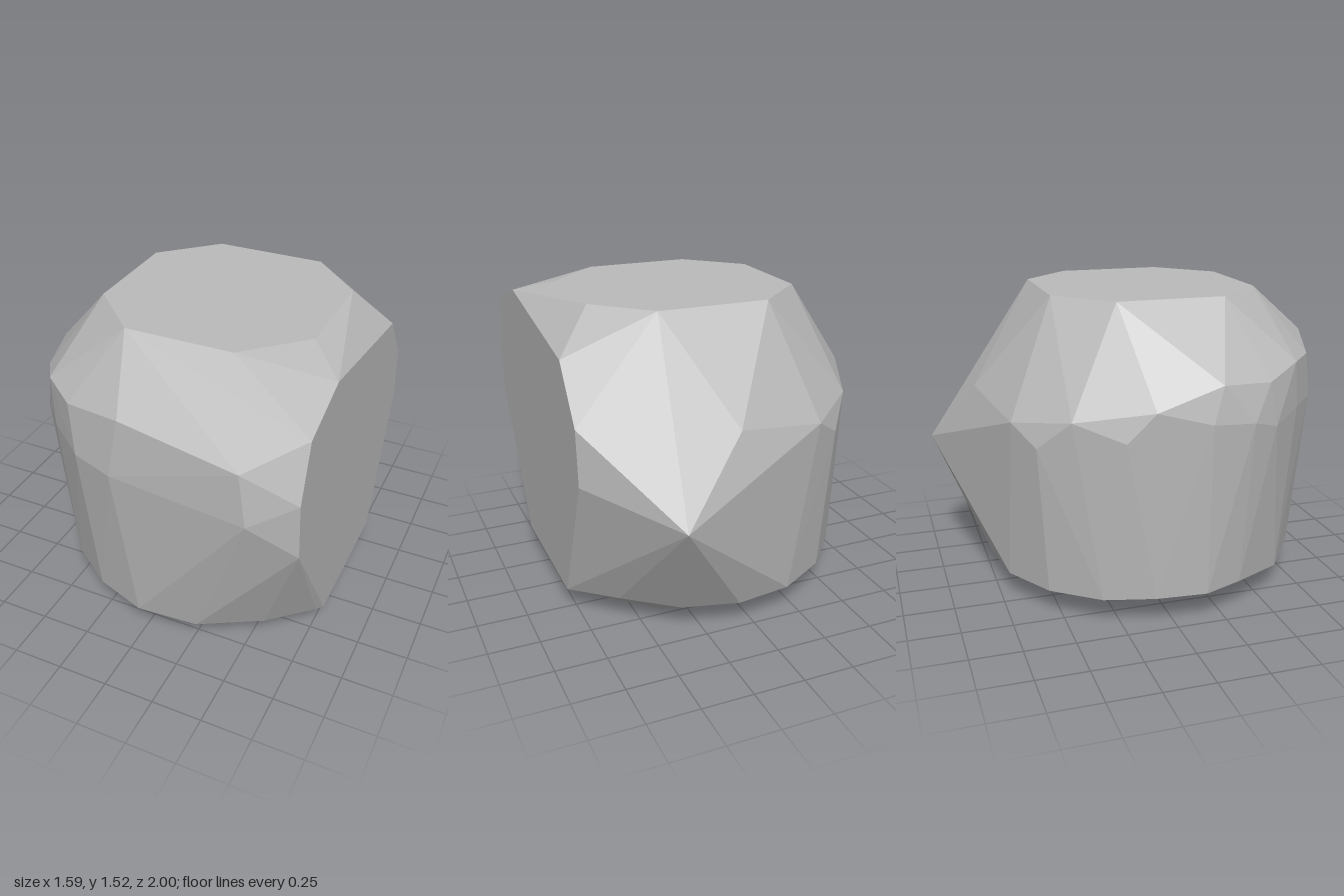
import * as THREE from 'three';
import { ConvexGeometry } from 'three/addons/geometries/ConvexGeometry.js';

// Corner rings of the faceted boulder, each corner as [x, y, z]
const TOP = 1.525, SIDE = 0.797;

// Flat octagons at the crown and the base
const octagon = (y, left, right) => [
  [-0.18, y, -0.46], [0.37, y, -0.46], [right, y, -0.21], [right, y, 0.32],
  [0.35, y, 0.58], [-0.18, y, 0.58], [left, y, 0.32], [left, y, -0.21],
];

// Lower rim, just above the base
const lowerRim = [
  [-0.74, 0.15, 0.15], [-0.68, 0.16, 0.34], [-0.51, 0.13, 0.61], [-0.28, 0.14, 0.78],
  [-0.02, 0.14, 0.87], [0.28, 0.13, 0.84], [0.57, 0.13, 0.68], [0.77, 0.12, 0.49],
  [0.6, 0.135, -0.49], [0.35, 0.13, -0.68], [0.08, 0.13, -0.75], [-0.2, 0.13, -0.71],
  [-0.45, 0.13, -0.56], [-0.64, 0.14, -0.34], [-0.72, 0.15, -0.1],
];

// Shoulder around the front, left and back, with the pointed back corner
const shoulder = [
  [0.555, 1.22, 0.99], [0.59, 0.965, 1.0], [-0.05, 1.265, 0.91], [-0.1, 0.97, 0.93],
  [-0.37, 1.205, 0.8], [-0.32, 0.97, 0.85], [-0.56, 1.215, 0.65], [-0.53, 0.98, 0.68],
  [-0.69, 1.16, 0.46], [-0.69, 0.945, 0.5], [-0.76, 0.99, 0.36], [-0.76, 1.18, 0.2],
  [-0.795, 1.01, 0.14], [-0.77, 1.08, -0.12], [-0.74, 0.94, -0.25], [-0.61, 1.02, -0.47],
  [-0.49, 0.875, -0.61], [-0.35, 0.97, -0.7], [-0.08, 1.0, -0.76], [0.11, 1.04, -0.8],
  [0.45, 0.69, -1.0],
];

// Outline of the flat cut side, as [z, y]
const cutSide = [
  [0.82, 1.35], [0.51, 1.455], [-0.35, 1.32], [-0.55, 1.06], [-0.57, 0.79],
  [-0.27, 0.11], [0.45, 0.115], [0.89, 0.79], [0.91, 1.08],
].map(([z, y]) => [SIDE, y, z]);

export function createModel() {
  const stone = new THREE.MeshStandardMaterial({ color: 0xbababa });
  stone.name = 'grey stone';
  stone.flatShading = true;

  const corners = [
    ...octagon(0, -0.41, 0.58), ...lowerRim, ...shoulder, ...cutSide,
    ...octagon(TOP, -0.44, 0.62),
  ].map((p) => new THREE.Vector3(...p));

  const boulder = new THREE.Mesh(new ConvexGeometry(corners), stone);
  boulder.name = 'boulder';

  const model = new THREE.Group();
  model.name = 'rock';
  model.add(boulder);
  return model;
}
